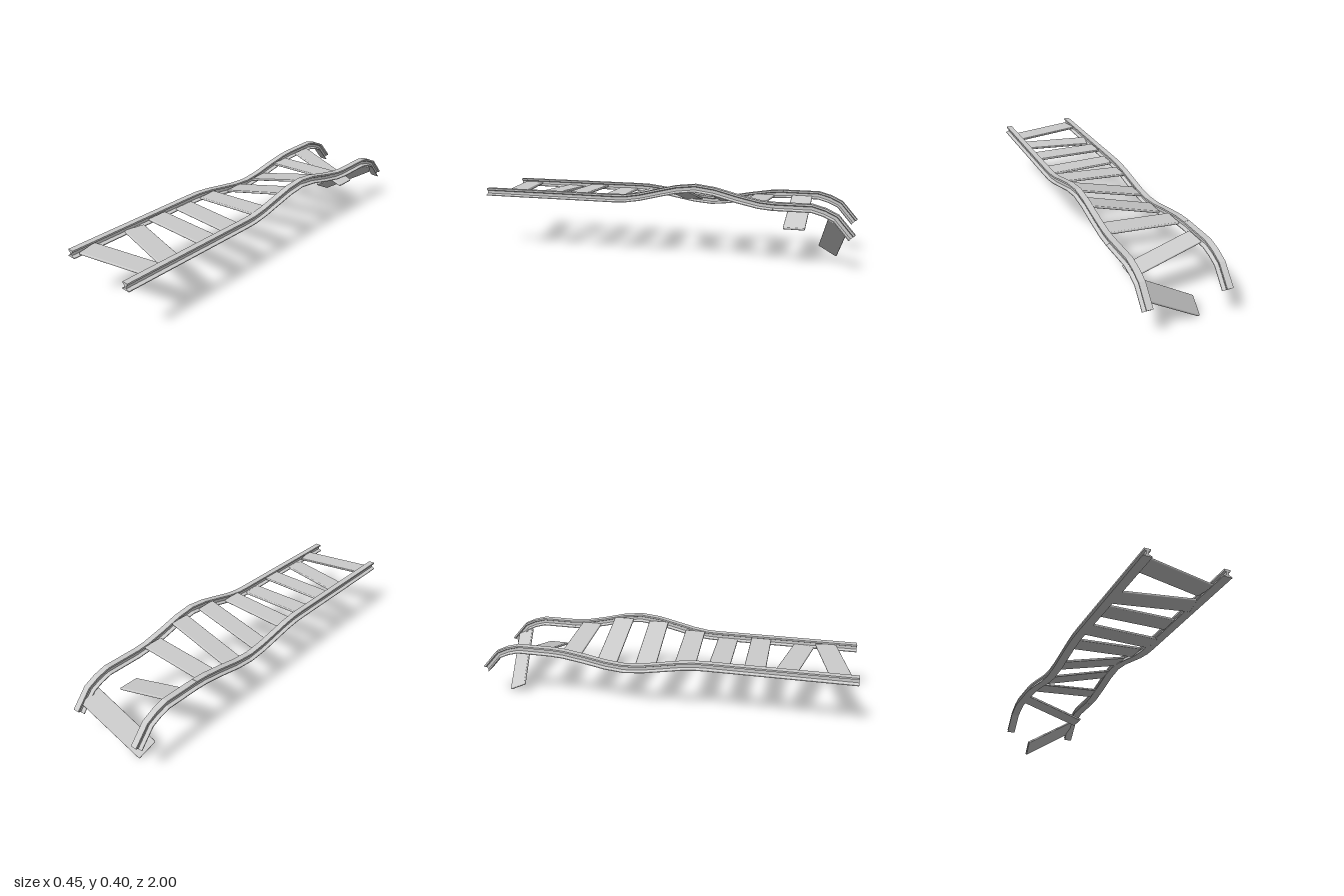
import * as THREE from 'three';
import { RoundedBoxGeometry } from 'three/addons/geometries/RoundedBoxGeometry.js';

const material = new THREE.MeshStandardMaterial({ color: 0xcccccc, flatShading: true });
const plankMaterial = new THREE.MeshStandardMaterial({ color: 0xcccccc });

// Rail cross-section: wide foot, thin web, narrower head
function railShape() {
  const half = [[0.023, -0.02], [0.023, -0.016], [0.006, -0.009], [0.006, 0.006], [0.016, 0.011], [0.016, 0.02]];
  const mirrored = half.map(([x, y]) => [-x, y]).reverse();
  return new THREE.Shape([...half, ...mirrored].map(([x, y]) => new THREE.Vector2(x, y)));
}

// Sweeps the rail section along a path of [z, y] stations running from back to front
function rail(name, x, path) {
  const steps = path.length - 1;
  const geometry = new THREE.ExtrudeGeometry(railShape(), { depth: steps, steps, bevelEnabled: false });
  const pos = geometry.attributes.position;
  for (let i = 0; i < pos.count; i++) {
    const k = Math.round(pos.getZ(i));
    const a = path[Math.max(k - 1, 0)], b = path[Math.min(k + 1, steps)];
    const dz = b[0] - a[0], dy = b[1] - a[1], len = Math.hypot(dz, dy);
    const h = pos.getY(i);
    pos.setXYZ(i, x + pos.getX(i), path[k][1] + h * dz / len, path[k][0] - h * dy / len);
  }
  geometry.computeVertexNormals();
  const mesh = new THREE.Mesh(geometry, material);
  mesh.name = name;
  return mesh;
}

// Thin rounded plank running from one end point to the other; across = its width direction
function plank(name, from, to, across = [0, 0, 1]) {
  const a = new THREE.Vector3(...from), b = new THREE.Vector3(...to);
  const along = b.clone().sub(a), length = along.length();
  along.normalize();
  const up = new THREE.Vector3(...across).cross(along).normalize();
  const side = along.clone().cross(up);
  const mesh = new THREE.Mesh(new RoundedBoxGeometry(length, 0.013, 0.11, 2, 0.005), plankMaterial);
  mesh.quaternion.setFromRotationMatrix(new THREE.Matrix4().makeBasis(along, up, side));
  mesh.position.copy(a).add(b).multiplyScalar(0.5);
  mesh.name = name;
  return mesh;
}

export function createModel() {
  const group = new THREE.Group();
  group.name = 'twistedTrack';

  // Rails: one rises and the other dips through the twist, then both droop at the broken end
  const level = 0.315;
  const bump = [[-0.6, 0], [-0.53, 0.08], [-0.42, 0.4], [-0.3, 0.82], [-0.2, 1], [-0.1, 0.85],
    [0, 0.53], [0.1, 0.2], [0.18, 0.03], [0.24, 0], [1, 0]];
  const droop = [[-0.984, 0.18], [-0.905, 0.272], [-0.85, 0.298], [-0.79, level], [-0.6, level]];
  for (const [side, x, lift] of [['left', 0.2, 0.073], ['right', -0.2, -0.055]]) {
    group.add(rail(side + 'Rail', x, bump.map(([z, f]) => [z, level + lift * f])));
    group.add(rail(side + 'RailBrokenEnd', x, droop));
  }

  // Ties: [right z, right y, left z, left y]
  const ties = [
    [0.918, 0.312, 0.834, 0.318],
    [0.635, 0.303, 0.72, 0.3],
    [0.485, 0.313, 0.485, 0.318],
    [0.3, 0.303, 0.3, 0.3],
    [0.125, 0.302, 0.113, 0.332],
    [-0.088, 0.268, -0.098, 0.372],
    [-0.3, 0.266, -0.3, 0.376],
    [-0.497, 0.301, -0.497, 0.327],
  ];
  ties.forEach(([z0, y0, z1, y1], i) =>
    group.add(plank('tie' + (i + 1), [-0.19, y0, z0], [0.19, y1, z1])));

  // Loose ties: one hanging from the right rail, one from the left
  group.add(plank('looseTie', [-0.19, 0.306, -0.702], [0.163, 0.197, -0.7]));
  group.add(plank('hangingTie', [-0.12, 0.031, -0.855], [0.193, 0.24, -0.915], [-0.02, 0.05, 0.1]));
  return group;
}
